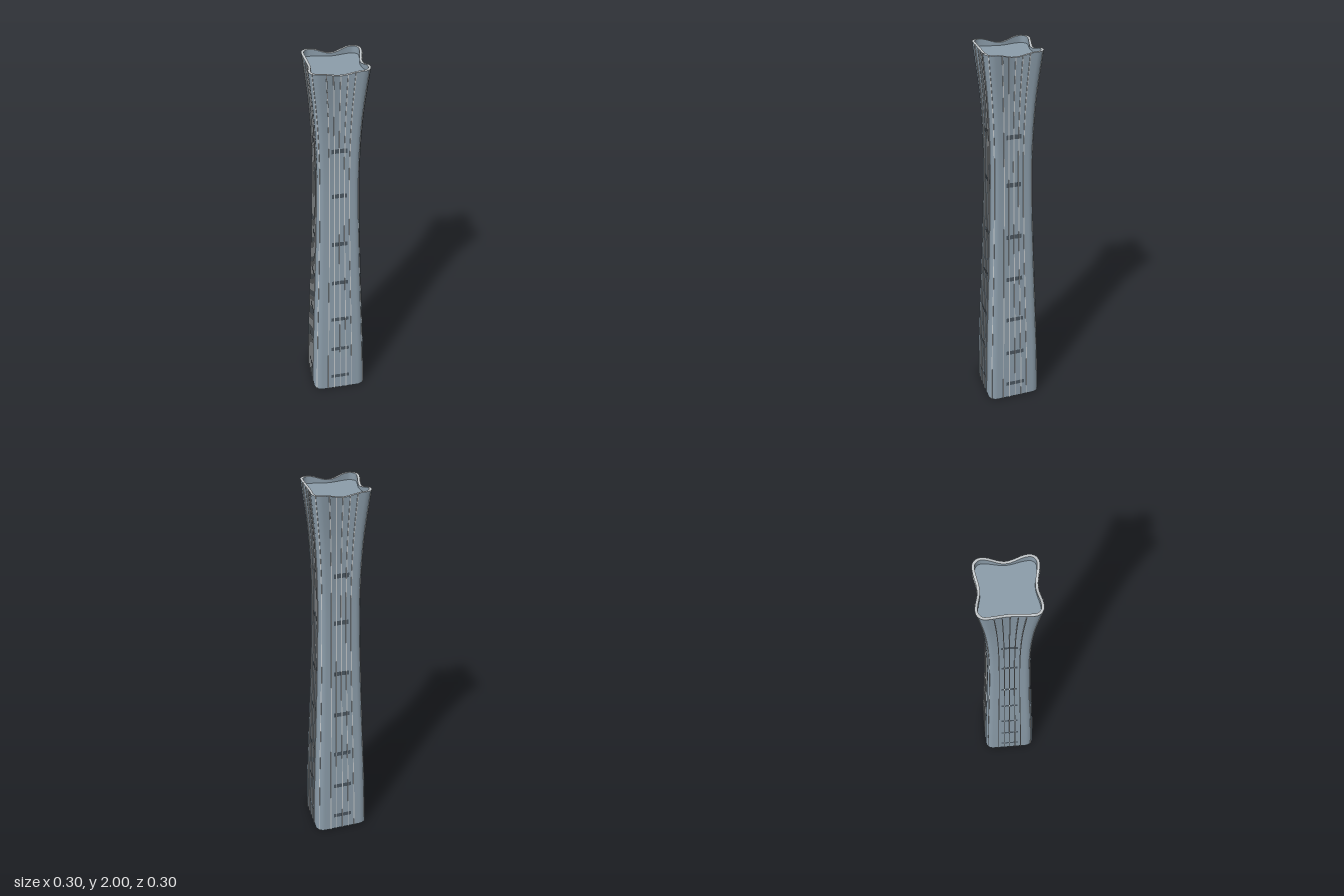
import * as THREE from 'three';

const HEIGHT = 2, PER_SIDE = 20, FLAT = 12; // ring steps per side: 12 along the face, 8 round the corner

// half-width of the tower at evenly spaced heights
const profile = new THREE.CatmullRomCurve3(
  [0.148, 0.142, 0.133, 0.123, 0.114, 0.107, 0.105, 0.115, 0.14].map((w, i) => new THREE.Vector3(w, i / 4, 0)),
  false, 'catmullrom', 0.5);
const halfWidth = y => profile.getPoint(Math.min(1, y / HEIGHT)).x;
const hollow = y => 0.015 * Math.pow(y / HEIGHT, 4); // how far the faces curve inward

// point on the front face: u across, y up, pushed out along the face
function facePoint(u, y, out = 0) {
  const w = halfWidth(y), s = w * 0.7;
  const bow = Math.pow(Math.cos(Math.min(1, Math.abs(u) / s) * Math.PI / 2), 2);
  const sag = 0.02 * bow * Math.pow(y / HEIGHT, 12); // the crown dips mid-face
  return new THREE.Vector3(u, y - sag, w - hollow(y) * bow + out);
}

// point number i on the rounded square ring at height y
function ringPoint(i, y, out = 0) {
  const k = Math.floor(i / PER_SIDE), j = i % PER_SIDE;
  const w = halfWidth(y), s = w * 0.7;
  let p;
  if (j <= FLAT) p = facePoint((j / FLAT * 2 - 1) * s, y, out);
  else {
    const a = (j - FLAT) / (PER_SIDE - FLAT) * Math.PI / 2, r = w - s + out;
    p = new THREE.Vector3(s + r * Math.sin(a), y, s + r * Math.cos(a));
  }
  return p.applyAxisAngle(new THREE.Vector3(0, 1, 0), k * Math.PI / 2);
}

// skin a grid of points; wrap closes each row into a loop
function skin(point, cols, rows, wrap, flat) {
  const pos = [], idx = [], n = wrap ? cols : cols + 1;
  for (let r = 0; r <= rows; r++)
    for (let c = 0; c < n; c++) pos.push(...point(c, r).toArray());
  for (let r = 0; r < rows; r++)
    for (let c = 0; c < cols; c++) {
      const a = r * n + c, b = r * n + (c + 1) % n;
      idx.push(a, b, b + n, a, b + n, a + n);
    }
  let g = new THREE.BufferGeometry();
  g.setAttribute('position', new THREE.Float32BufferAttribute(pos, 3));
  g.setIndex(idx);
  if (flat) g = g.toNonIndexed();
  g.computeVertexNormals();
  return g;
}

export function createModel() {
  const group = new THREE.Group();
  group.name = 'tower';
  const material = (name, color) => {
    const m = new THREE.MeshStandardMaterial({ color, side: THREE.DoubleSide });
    m.name = name;
    return m;
  };
  const glass = material('blue grey glass', 0x8a9ba8);
  const pale = material('pale metal', 0xc0c5c8);
  const dark = material('dark bands', 0x4a5660);
  const add = (name, geometry, mat, parent = group) => {
    const m = new THREE.Mesh(geometry, mat);
    m.name = name;
    parent.add(m);
  };
  const N = PER_SIDE * 4, ROWS = 40, WALL = 0.012, ROOF = 1.966;

  // open shell, parapet and roof
  add('shell', skin((c, r) => ringPoint(c, r / ROWS * HEIGHT), N, ROWS, true), glass);
  add('crownRim', skin((c, r) => ringPoint(c, HEIGHT, -r * WALL), N, 1, true), pale);
  add('parapetInside', skin((c, r) => {
    const p = ringPoint(c, HEIGHT, -WALL);
    if (r) p.y = ROOF;
    return p;
  }, N, 1, true), glass);
  add('roof', skin((c, r) => {
    const p = ringPoint(c, HEIGHT, -WALL).multiplyScalar(1 - r);
    p.y = ROOF;
    return p;
  }, N, 1, true, true), glass);

  // fin cross-section corners: across and outward
  const finCorners = [[-0.002, -0.004], [-0.002, 0.004], [0.002, 0.004], [0.002, -0.004]];
  const fin = u => skin((c, r) => {
    const y = r / ROWS * HEIGHT, [dx, out] = finCorners[c];
    const p = facePoint(u * halfWidth(y), y, out);
    p.x += dx;
    return p;
  }, 4, ROWS, true, true);
  const cornerFin = skin((c, r) => {
    const y = r / ROWS * HEIGHT, w = halfWidth(y), [dx, out] = finCorners[c];
    const d = w * (0.7 * Math.SQRT2 + 0.3) + out * 0.5;
    return new THREE.Vector3(dx, y, d).applyAxisAngle(new THREE.Vector3(0, 1, 0), Math.PI / 4);
  }, 4, ROWS, true, true);
  const fins = [-0.47, -0.235, 0, 0.235, 0.47].map(fin);

  // thin dark bands behind the fins
  const bands = [0.097, 0.313, 0.533, 0.788, 1.04, 1.332, 1.587].map(y0 =>
    skin((c, r) => {
      const y = y0 + (r - 0.5) * 0.024;
      return facePoint((c / 4 - 1) * 0.355 * halfWidth(y), y, 0.0015);
    }, 8, 1, false));

  // the same dressing on all four sides
  for (let k = 0; k < 4; k++) {
    const side = new THREE.Group();
    side.name = 'side' + (k + 1);
    side.rotation.y = k * Math.PI / 2;
    fins.forEach(g => add('fin', g, pale, side));
    add('cornerFin', cornerFin, pale, side);
    bands.forEach(g => add('mechanicalBand', g, dark, side));
    group.add(side);
  }
  return group;
}
